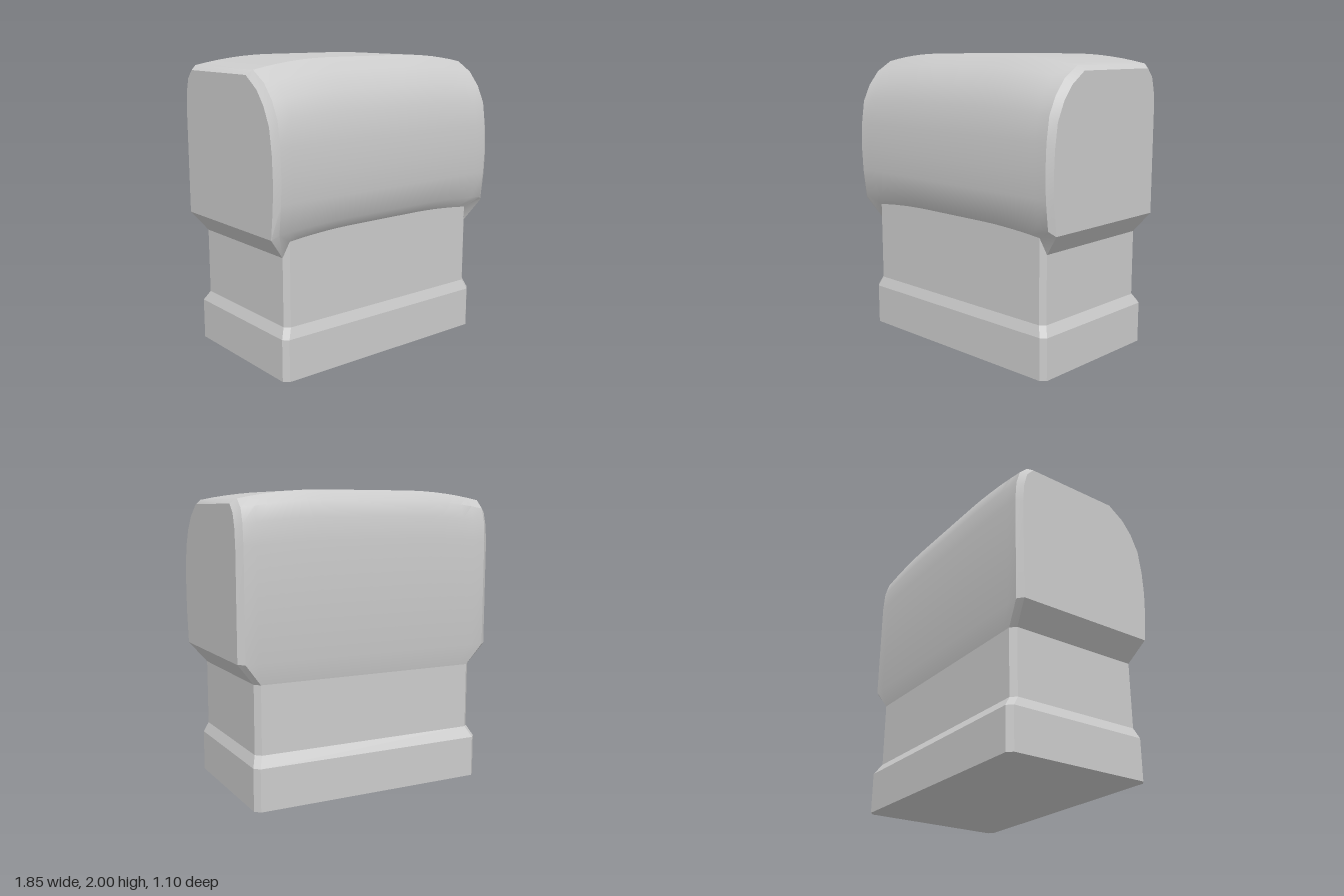
import * as THREE from 'three';
import { toCreasedNormals } from 'three/addons/utils/BufferGeometryUtils.js';

const material = new THREE.MeshStandardMaterial({ color: 0xcccccc });

function makeMesh(name, positions, index, crease) {
  const geometry = new THREE.BufferGeometry();
  geometry.setAttribute('position', new THREE.Float32BufferAttribute(positions.flat(), 3));
  geometry.setIndex(index);
  const mesh = new THREE.Mesh(toCreasedNormals(geometry, crease), material);
  mesh.name = name;
  return mesh;
}

// Rectangle with cut corners, counter-clockwise seen from above
function ring(x, front, back, y, frontY = y) {
  const cx = x - 0.035, f = front - 0.03, b = back + 0.035;
  return [
    [-cx, frontY, front], [cx, frontY, front], [x, y, f], [x, y, b],
    [cx, y, back], [-cx, y, back], [-x, y, b], [-x, y, f],
  ];
}

// Plinth, sloped shoulder and neck as one loft
function createPedestal() {
  const rings = [
    ring(0.84, 0.495, -0.55, 0),
    ring(0.84, 0.495, -0.55, 0.28),
    ring(0.81, 0.47, -0.5, 0.35),
    ring(0.81, 0.47, -0.5, 0.8, 0.935),
  ];
  const index = [];
  for (let r = 0; r < rings.length - 1; r++) {
    for (let i = 0; i < 8; i++) {
      const a = r * 8 + i, b = r * 8 + (i + 1) % 8;
      index.push(a, b, b + 8, a, b + 8, a + 8);
    }
  }
  for (let i = 1; i < 7; i++) index.push(0, i + 1, i);
  return makeMesh('pedestal', rings.flat(), index, 0.2);
}

// Side outlines as [z, y], from the front lip over the top to the rear underside
const outer = [
  [0.47, 0.935], [0.52, 1.0], [0.543, 1.16], [0.55, 1.32], [0.543, 1.5], [0.52, 1.68],
  [0.465, 1.81], [0.385, 1.92], [0.27, 2.0],
  [-0.43, 2.0], [-0.49, 1.935], [-0.517, 1.83], [-0.527, 1.68], [-0.527, 0.94], [-0.5, 0.8],
];
const end = [
  [0.44, 0.8], [0.49, 0.94], [0.513, 1.14], [0.52, 1.3], [0.513, 1.46], [0.49, 1.62],
  [0.435, 1.74], [0.365, 1.83], [0.25, 1.91],
  [-0.41, 1.91], [-0.46, 1.855], [-0.485, 1.765], [-0.495, 1.64], [-0.495, 0.94], [-0.465, 0.8],
];

// Head: outline swept across x with a crowned top, bevelled ends and tapered underside
function createHead() {
  const n = outer.length, steps = 20, endX = 0.925, bevelX = 0.885;
  const stations = [-endX];
  for (let i = 0; i <= steps; i++) stations.push(bevelX * (2 * i / steps - 1));
  stations.push(endX);

  const positions = [], index = [];
  for (const x of stations) {
    const isEnd = Math.abs(x) === endX;
    const drop = 0.06 * Math.pow(Math.max(0, Math.abs(x) - 0.3) / (bevelX - 0.3), 2);
    (isEnd ? end : outer).forEach(([z, y], j) => {
      const px = j === 0 || j === n - 1 ? x * 0.876 : x;
      let fall = 0;
      if (!isEnd) fall = j < 2 ? 0.5 : THREE.MathUtils.clamp((y - 1.5) / 0.5, 0, 1);
      positions.push([px, y - drop * fall, z]);
    });
  }
  for (let i = 0; i < stations.length - 1; i++) {
    for (let j = 0; j < n - 1; j++) {
      const a = i * n + j, b = a + n;
      index.push(a, b, b + 1, a, b + 1, a + 1);
    }
  }
  // Flat ends with the sloped strip beneath them
  for (const [o, right] of [[0, false], [(stations.length - 1) * n, true]]) {
    const tri = (a, b, c) => index.push(o + a, o + (right ? b : c), o + (right ? c : b));
    for (let j = 2; j < n - 2; j++) tri(1, j + 1, j);
    tri(0, n - 1, n - 2);
    tri(0, n - 2, 1);
  }
  return makeMesh('head', positions, index, 0.52);
}

export function createModel() {
  const group = new THREE.Group();
  group.name = 'crownedBlock';
  group.add(createPedestal(), createHead());
  return group;
}
